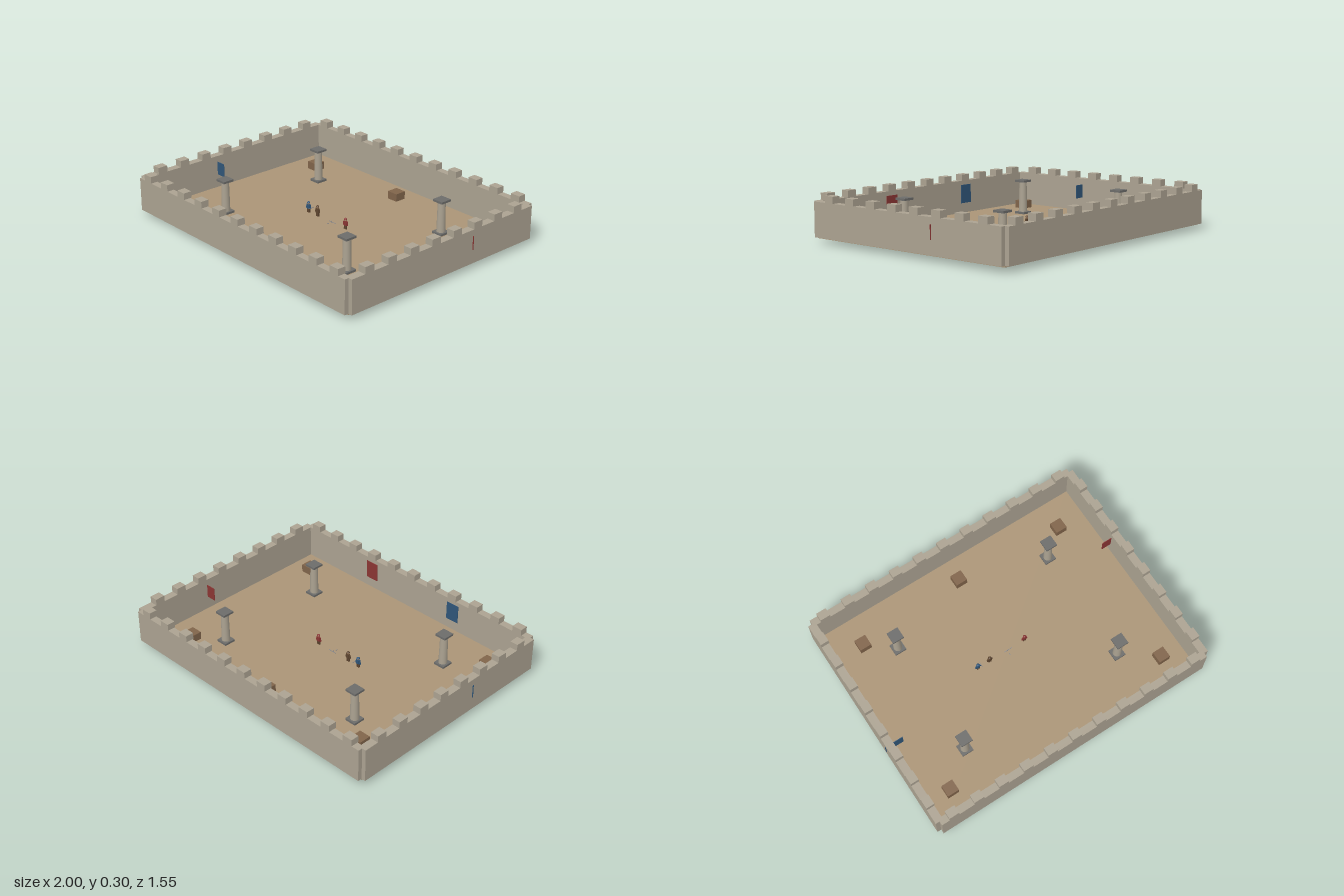
import * as THREE from 'three';

const mat = (color) => new THREE.MeshStandardMaterial({ color });
const STONE = mat(0xaba291), EARTH = mat(0xaa9476), SLATE = mat(0x6c6c6a), WOOD = mat(0x80644a);
const RED = mat(0x8a3533), BLUE = mat(0x2f5578), BROWN = mat(0x5f4630), SKIN = mat(0xc09a78), STEEL = mat(0x8c8c90);

const FLOOR = 0.037, WALL_TOP = 0.257, WALL_H = WALL_TOP - FLOOR;

function add(parent, name, geometry, material, x, y, z) {
  const m = new THREE.Mesh(geometry, material);
  m.name = name;
  m.position.set(x, y, z);
  parent.add(m);
  return m;
}
const box = (parent, name, material, w, h, d, x, y, z) =>
  add(parent, name, new THREE.BoxGeometry(w, h, d), material, x, y, z);

function group(parent, name, x = 0, y = 0, z = 0) {
  const g = new THREE.Group();
  g.name = name;
  g.position.set(x, y, z);
  parent.add(g);
  return g;
}

// Square base, tapering round shaft and square cap
function pillar(parent, x, z) {
  const g = group(parent, 'pillar', x, FLOOR, z);
  box(g, 'pillarBase', SLATE, 0.078, 0.014, 0.078, 0, 0.007, 0);
  add(g, 'pillarShaft', new THREE.CylinderGeometry(0.025, 0.028, 0.203, 16), STONE, 0, 0.1155, 0);
  box(g, 'pillarCap', SLATE, 0.078, 0.014, 0.078, 0, 0.223, 0);
}

// Small standing fighter, 0.075 tall
function fighter(parent, material, x, turn) {
  const g = group(parent, 'fighter', x, FLOOR, 0);
  g.rotation.y = turn;
  for (const s of [-1, 1]) {
    box(g, 'leg', BROWN, 0.009, 0.025, 0.01, s * 0.006, 0.0125, 0);
    const arm = box(g, 'arm', material, 0.007, 0.026, 0.008, s * 0.015, 0.04, 0);
    arm.rotation.z = s * 0.2;
  }
  box(g, 'torso', material, 0.022, 0.03, 0.014, 0, 0.04, 0);
  add(g, 'head', new THREE.SphereGeometry(0.009, 12, 8), SKIN, 0, 0.063, 0);
  add(g, 'helmet', new THREE.SphereGeometry(0.0105, 12, 6, 0, Math.PI * 2, 0, Math.PI / 2), material, 0, 0.0645, 0);
  return g;
}

export function createModel() {
  const model = new THREE.Group();
  model.name = 'arena';

  box(model, 'floor', EARTH, 1.936, 0.009, 1.494, 0, FLOOR - 0.0045, 0);

  // Walls with battlements
  for (const s of [-1, 1]) {
    const longWall = group(model, s > 0 ? 'frontWall' : 'backWall', 0, 0, s * 0.751);
    box(longWall, 'wall', STONE, 1.936, WALL_H, 0.048, 0, FLOOR + WALL_H / 2, 0);
    for (let i = -5; i <= 5; i++)
      box(longWall, 'merlon', STONE, 0.068, 0.043, 0.055, i * 0.176, WALL_TOP + 0.0215, -s * 0.003);

    const sideWall = group(model, s > 0 ? 'leftWall' : 'rightWall', s * 0.969, 0, 0);
    box(sideWall, 'wall', STONE, 0.052, WALL_H, 1.494, 0, FLOOR + WALL_H / 2, 0);
    for (let i = -3.5; i <= 3.5; i++)
      box(sideWall, 'merlon', STONE, 0.055, 0.043, 0.068, -s * 0.001, WALL_TOP + 0.0215, i * 0.1755);
  }

  for (const sx of [-1, 1]) for (const sz of [-1, 1]) pillar(model, sx * 0.573, sz * 0.396);

  // Crates around the edges
  for (const [x, z] of [[-0.748, -0.53], [0, -0.573], [0.746, -0.53], [-0.79, 0.57], [0.79, 0.57]])
    box(model, 'crate', WOOD, 0.078, 0.052, 0.078, x, FLOOR + 0.026, z);

  // Banners: two flat on the front wall's inner face, two jutting through the side walls
  box(model, 'banner', RED, 0.094, 0.125, 0.004, 0.35, 0.166, 0.725);
  box(model, 'banner', BLUE, 0.094, 0.125, 0.004, -0.36, 0.166, 0.725);
  box(model, 'banner', RED, 0.125, 0.09, 0.004, 0.9375, 0.171, -0.223);
  box(model, 'banner', BLUE, 0.125, 0.09, 0.004, -0.9375, 0.171, 0.172);

  // Fighters, one holding a blade
  const armed = fighter(model, BLUE, -0.22, 0);
  box(armed, 'blade', STEEL, 0.002, 0.003, 0.045, 0.022, 0.035, -0.004);
  fighter(model, BROWN, -0.133, 0);
  fighter(model, RED, 0.13, 0);

  // Weapons dropped at the centre, one stuck through the floor
  const sword = group(model, 'sword', 0, 0, 0.003);
  box(sword, 'blade', STEEL, 0.004, 0.05, 0.004, 0, 0.025, 0);
  box(sword, 'guard', STEEL, 0.006, 0.003, 0.016, 0, 0.018, 0);
  box(model, 'spear', STEEL, 0.06, 0.003, 0.003, 0.006, FLOOR + 0.004, 0);
  box(model, 'dagger', STEEL, 0.004, 0.003, 0.012, 0, FLOOR + 0.002, 0.03);

  return model;
}
